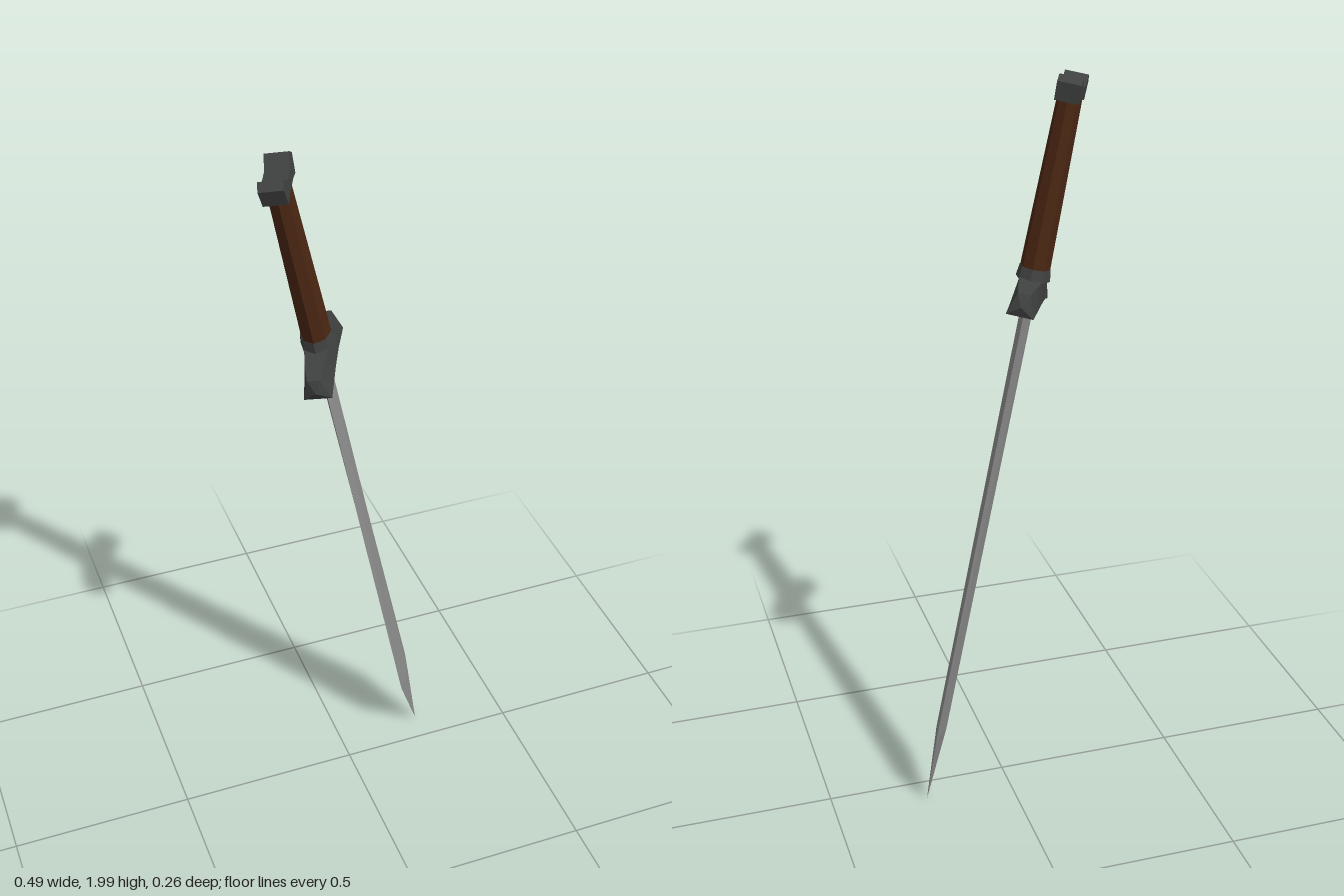
import * as THREE from 'three';

const paint = (color) => new THREE.MeshStandardMaterial({ color, flatShading: true, roughness: 0.8 });

// Skin between equal-sized rings of points, closed with a fan to a centre point at each end
function loft(rings, capStart, capEnd) {
  const pos = [];
  const tri = (a, b, c) => pos.push(...a, ...b, ...c);
  const n = rings[0].length;
  for (let j = 0; j < n; j++) {
    const k = (j + 1) % n;
    for (let i = 0; i < rings.length - 1; i++) {
      const [a, b, c, d] = [rings[i][j], rings[i][k], rings[i + 1][k], rings[i + 1][j]];
      tri(a, b, c);
      tri(a, c, d);
    }
    tri(capStart, rings[0][k], rings[0][j]);
    tri(capEnd, rings.at(-1)[j], rings.at(-1)[k]);
  }
  const g = new THREE.BufferGeometry();
  g.setAttribute('position', new THREE.Float32BufferAttribute(pos, 3));
  g.computeVertexNormals();
  return g;
}

export function createModel() {
  const sword = new THREE.Group();
  sword.name = 'sword';
  const steel = paint(0x8c8c8c);
  const iron = paint(0x404141);
  const leather = paint(0x4a2612);

  const add = (name, geometry, material) => {
    const mesh = new THREE.Mesh(geometry, material);
    mesh.name = name;
    sword.add(mesh);
    return mesh;
  };

  // Blade: diamond section, broadest at the shoulder before the point
  const diamond = (y, w, t) => [[0, y, t], [w, y, 0], [0, y, -t], [-w, y, 0]];
  add('blade', loft(
    [diamond(-1.25, 0.066, 0.014), diamond(0.02, 0.044, 0.016)],
    [0, -1.477, 0], [0, 0.02, 0]), steel);

  // Guard: drooping bar with sloped sides and slightly pointed ends
  const section = (x, top, bottom, a, b) => [[x, top, a], [x, bottom, b], [x, bottom, -b], [x, top, -a]];
  const half = [[0.13, 0.024, -0.034, 0.016, 0.035], [0.085, 0.036, -0.026, 0.024, 0.036], [0.035, 0.043, -0.014, 0.03, 0.038]];
  const bars = [
    ...half.map(([x, ...r]) => section(-x, ...r)),
    ...half.toReversed().map(([x, ...r]) => section(x, ...r)),
  ];
  add('guard', loft(bars, [-0.142, -0.008, 0], [0.142, -0.008, 0]), iron);

  // Collar between guard and grip
  const collar = add('collar', new THREE.CylinderGeometry(0.047, 0.052, 0.03, 8), iron);
  collar.position.y = 0.053;
  collar.scale.z = 0.85;

  // Grip: tapered octagon
  const grip = add('grip', new THREE.CylinderGeometry(0.037, 0.046, 0.44, 8), leather);
  grip.position.y = 0.28;
  grip.scale.z = 0.84;

  // Pommel: crescent block with two upturned horns
  const outline = [
    [-0.06, 0.488], [-0.03, 0.494], [0.03, 0.494], [0.06, 0.488],
    [0.073, 0.535], [0.054, 0.551], [0.022, 0.525],
    [-0.022, 0.525], [-0.054, 0.551], [-0.073, 0.535],
  ].map(([x, y]) => new THREE.Vector2(x, y));
  const pommel = new THREE.ExtrudeGeometry(new THREE.Shape(outline), { depth: 0.06, bevelEnabled: false });
  pommel.translate(0, 0, -0.03);
  add('pommel', pommel, iron);

  // Lean the whole sword, point down
  const up = new THREE.Vector3(-0.215, 0.975, 0.054).normalize();
  const across = new THREE.Vector3(0.437, 0.145, -0.888);
  const face = across.clone().cross(up).normalize();
  across.crossVectors(up, face);
  sword.applyMatrix4(new THREE.Matrix4().makeBasis(across, up, face).setPosition(-0.075, 1.45, 0.002));

  const model = new THREE.Group();
  model.name = 'leaningSword';
  model.add(sword);
  return model;
}
